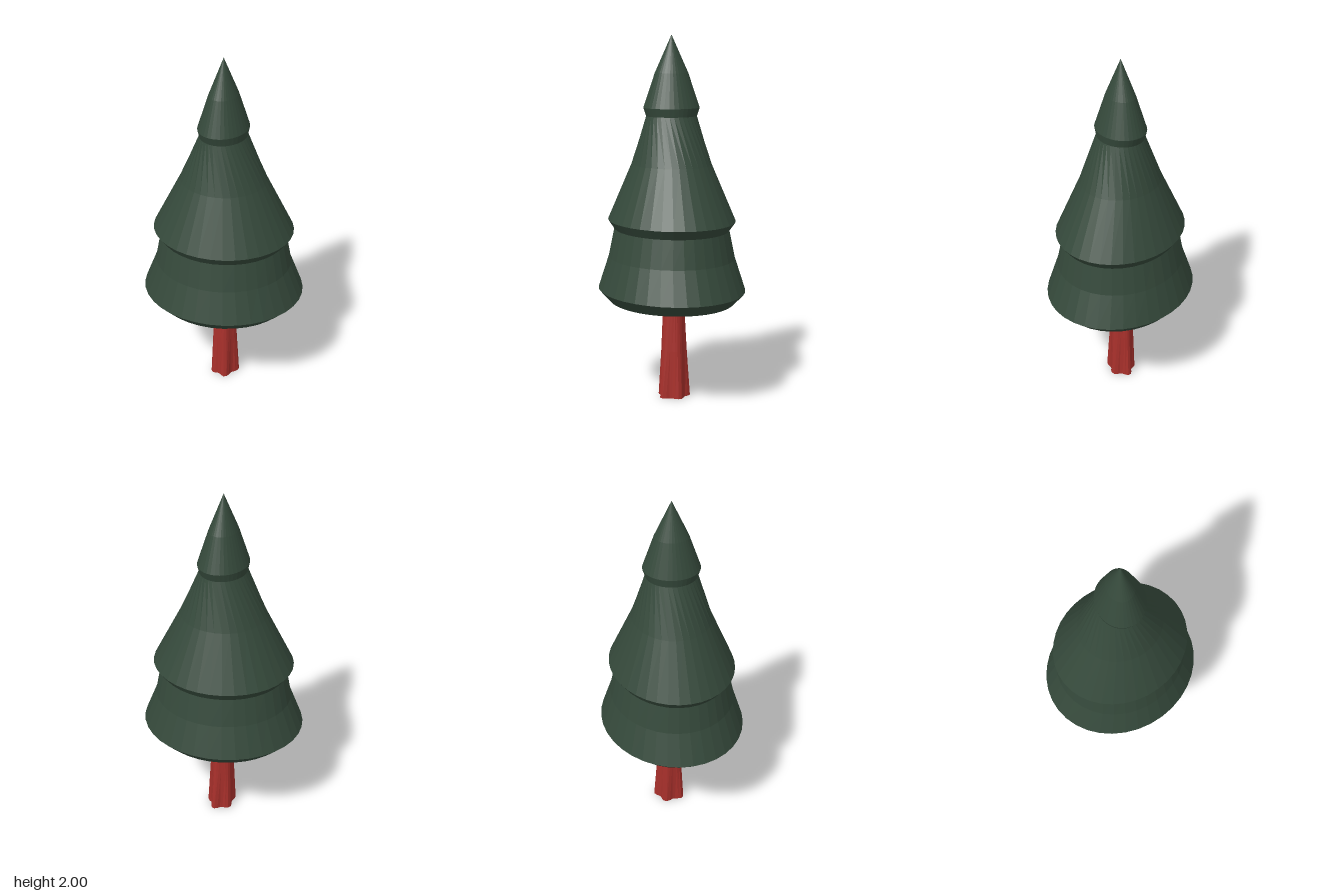
import * as THREE from 'three';

// Skin a stack of rings, each an array of Vector3 running anticlockwise seen from above
function loft(rings) {
  const n = rings[0].length, pos = [], idx = [];
  rings.forEach(r => r.forEach(p => pos.push(p.x, p.y, p.z)));
  for (let k = 0; k < rings.length - 1; k++) {
    for (let i = 0; i < n; i++) {
      const a = k * n + i, b = k * n + (i + 1) % n;
      idx.push(a, b, b + n, a, b + n, a + n);
    }
  }
  // Bottom and top caps
  for (const [k, flip] of [[0, true], [rings.length - 1, false]]) {
    const c = new THREE.Vector3();
    rings[k].forEach(p => c.addScaledVector(p, 1 / n));
    const ci = pos.length / 3;
    pos.push(c.x, c.y, c.z);
    for (let i = 0; i < n; i++) {
      const a = k * n + i, b = k * n + (i + 1) % n;
      if (flip) idx.push(ci, b, a); else idx.push(ci, a, b);
    }
  }
  const g = new THREE.BufferGeometry();
  g.setAttribute('position', new THREE.Float32BufferAttribute(pos, 3));
  g.setIndex(idx);
  g.computeVertexNormals();
  return g;
}

// Ellipse with half axes a, b, turned about y; lobe adds five root ridges
function ring(y, a, b, turn = 0, cx = 0, cz = 0, lobe = 0, n = 36) {
  return Array.from({ length: n }, (_, i) => {
    const t = i / n * Math.PI * 2;
    const s = 1 + lobe * (Math.cos(5 * (t - Math.PI / 2)) - 1);
    const u = a * s * Math.cos(t), v = b * s * Math.sin(t);
    return new THREE.Vector3(
      cx + u * Math.cos(turn) - v * Math.sin(turn), y,
      cz - u * Math.sin(turn) - v * Math.cos(turn));
  });
}

function part(name, rings, color) {
  const mesh = new THREE.Mesh(loft(rings),
    new THREE.MeshStandardMaterial({ color, flatShading: true }));
  mesh.name = name;
  return mesh;
}

export function createModel() {
  const tree = new THREE.Group();
  tree.name = 'tree';
  const green = 0x35493b, red = 0xa8302b, w = 0.38;

  // Three skirted tiers, oval and turned, tapering to a point
  tree.add(part('foliage', [
    ring(0.555, 0.379, 0.335, w),
    ring(0.62, 0.447, 0.392, w),
    ring(0.8, 0.377, 0.337, w),
    ring(0.955, 0.348, 0.304, w),
    ring(1.005, 0.385, 0.337, w),
    ring(1.31, 0.234, 0.213, w),
    ring(1.57, 0.123, 0.137),
    ring(1.615, 0.13, 0.152),
    ring(1.8, 0.073, 0.09),
    ring(2, 0.0005, 0.0005),
  ], green));

  // Trunk, round at the top and ridged towards the roots
  tree.add(part('trunk', [
    ring(0, 0.08, 0.094, 0, 0.005, -0.011, 0.13, 30),
    ring(0.27, 0.068, 0.074, 0, 0.002, -0.011, 0.06, 30),
    ring(0.56, 0.056, 0.057, 0, -0.002, -0.012, 0, 30),
  ], red));
  return tree;
}
